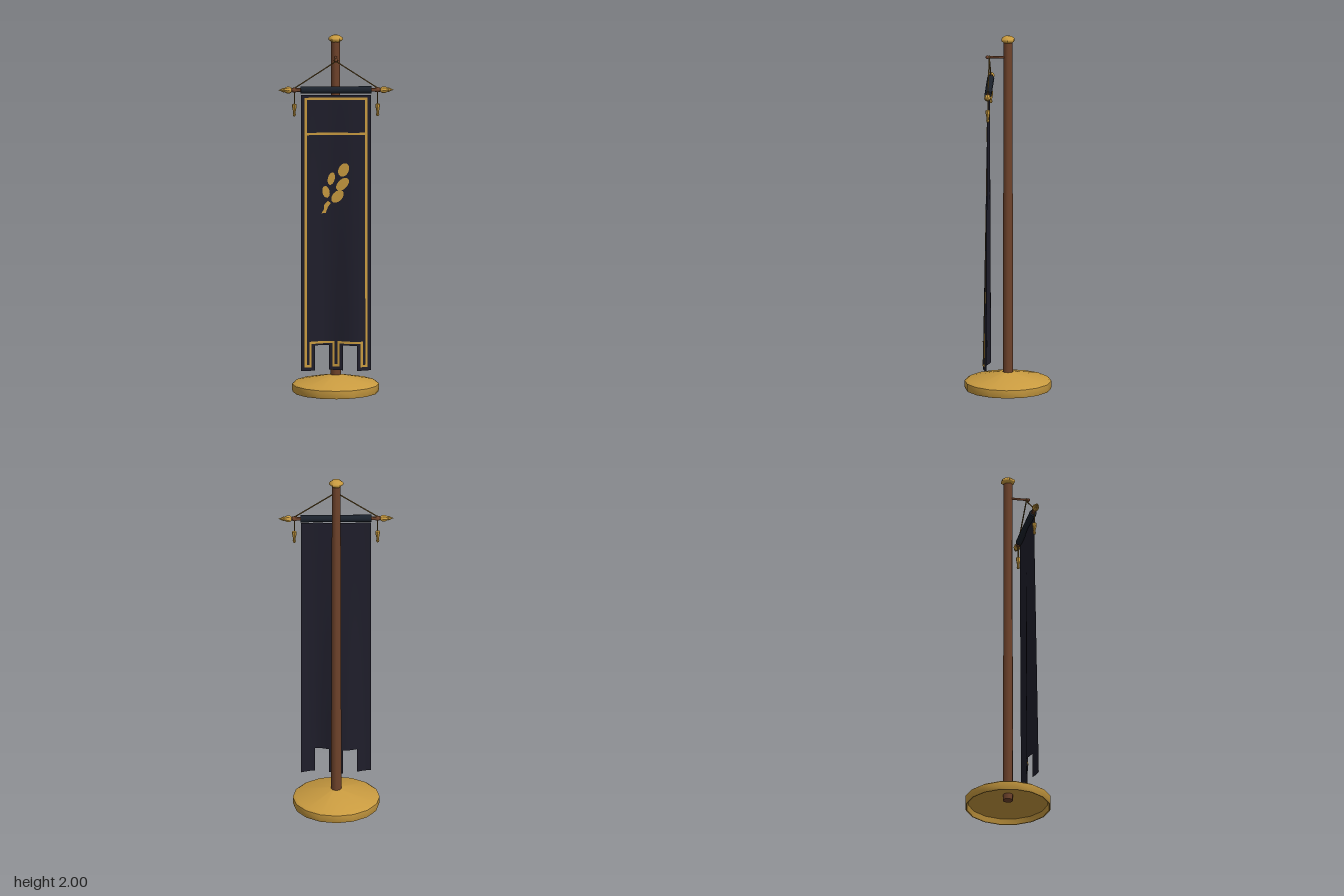
import * as THREE from 'three';
import { toCreasedNormals } from 'three/addons/utils/BufferGeometryUtils.js';

const flat = (name, color, extra = {}) => Object.assign(new THREE.MeshStandardMaterial({ color, ...extra }), { name });

export function createModel() {
  const gold = flat('gold', 0xc99b40);
  const wood = flat('wood', 0x6f432b);
  const navy = flat('navy cloth', 0x1f1e2b, { side: THREE.DoubleSide });
  const sleeveNavy = flat('dark sleeve', 0x1a212b);
  const cord = flat('cord', 0x7d5f2a);

  const root = new THREE.Group();
  root.name = 'bannerStand';
  const add = (name, geometry, material, parent = root) => {
    const mesh = new THREE.Mesh(geometry, material);
    mesh.name = name;
    parent.add(mesh);
    return mesh;
  };
  const lathe = (points, sides, crease = 0.6, start = 0) =>
    toCreasedNormals(new THREE.LatheGeometry(points.map(p => new THREE.Vector2(...p)), sides, start), crease);
  const rod = (name, a, b, radius, material, sides = 6) => {
    const from = new THREE.Vector3(...a), to = new THREE.Vector3(...b);
    const dir = to.clone().sub(from);
    const mesh = add(name, new THREE.CylinderGeometry(radius, radius, dir.length(), sides), material);
    mesh.position.copy(from).add(to).multiplyScalar(0.5);
    mesh.quaternion.setFromUnitVectors(new THREE.Vector3(0, 1, 0), dir.normalize());
    return mesh;
  };

  // Hollow base, tapered pole and six-sided cap
  add('base', lathe([[0.02, 0.075], [0.222, 0.03], [0.23, 0], [0.236, 0], [0.24, 0.01],
    [0.24, 0.045], [0.225, 0.055], [0.025, 0.097]], 16), gold);
  const pole = add('pole', new THREE.CylinderGeometry(0.024, 0.029, 1.93, 8), wood);
  pole.position.y = 1.005;
  add('poleCap', lathe([[0, 1.963], [0.024, 1.963], [0.04, 1.975], [0.04, 1.986], [0.022, 1.999], [0, 2]],
    6, 0.9, Math.PI / 2), gold);

  // Arm holding the crossbar
  const barY = 1.712, barZ = 0.103;
  rod('arm', [0, 1.88, 0], [0, 1.88, 0.12], 0.007, wood);
  const armTip = add('armTip', new THREE.SphereGeometry(0.01, 8, 6), wood);
  armTip.position.set(0, 1.88, 0.114);
  const loop = add('cordLoop', new THREE.TorusGeometry(0.01, 0.003, 5, 10), cord);
  loop.position.set(0, 1.877, barZ);

  // Crossbar with cloth sleeve
  rod('crossbar', [-0.2, barY, barZ], [0.2, barY, barZ], 0.011, wood, 8);
  rod('sleeve', [-0.195, barY, barZ], [0.195, barY, barZ], 0.02, sleeveNavy, 12);

  // Bar ends, cords and tassels on both sides
  for (const s of [-1, 1]) {
    const end = new THREE.Group();
    end.name = s > 0 ? 'leftBarEnd' : 'rightBarEnd';
    end.position.set(0, barY, barZ);
    end.rotation.z = -s * Math.PI / 2;
    root.add(end);
    add('barTurning', lathe([[0.011, 0.19], [0.011, 0.215], [0.015, 0.23], [0.01, 0.247]], 8, 0.9), wood, end);
    add('finial', lathe([[0, 0.243], [0.013, 0.246], [0.019, 0.257], [0.019, 0.27], [0.011, 0.286],
      [0.013, 0.29], [0, 0.318]], 8, 0.7), gold, end);

    rod('supportCord', [0, 1.872, barZ], [s * 0.23, barY + 0.01, barZ], 0.0035, cord);
    rod('tasselCord', [s * 0.23, barY, barZ], [s * 0.23, 1.625, barZ], 0.003, cord);
    const tassel = add('tassel', lathe([[0, 1.565], [0.006, 1.566], [0.009, 1.575], [0.006, 1.585],
      [0.013, 1.622], [0.012, 1.632], [0, 1.637]], 8), gold);
    tassel.position.set(s * 0.23, 0, barZ);
  }

  // Cloth hangs in soft folds that deepen toward the bottom
  const top = 1.684, bottom = 0.14;
  const foldZ = (x, y) => {
    const t = (top - y) / (top - bottom);
    return 0.105 + 0.01 * t + (0.003 + 0.017 * t) * Math.cos(2 * Math.PI * (x - 0.11) / 0.3);
  };
  const drape = (geometry, lift) => {
    const p = geometry.attributes.position;
    for (let i = 0; i < p.count; i++) p.setZ(i, foldZ(p.getX(i), p.getY(i)) + lift);
    geometry.computeVertexNormals();
    return geometry;
  };
  const patch = (name, x0, x1, y0, y1, material, lift = 0) => {
    const w = x1 - x0, h = y1 - y0;
    const g = new THREE.PlaneGeometry(w, h, Math.ceil(w / 0.012), Math.ceil(h / 0.2));
    g.translate((x0 + x1) / 2, (y0 + y1) / 2, 0);
    add(name, drape(g, lift), material);
  };
  const notchY = 0.28;
  patch('banner', -0.193, 0.193, notchY, top, navy);
  for (const [x0, x1] of [[-0.193, -0.115], [-0.039, 0.039], [0.115, 0.193]])
    patch('bannerTail', x0, x1, bottom, notchY, navy);

  // Gold trim following the banner outline
  const w = 0.013, low = 0.16, lift = 0.003;
  const trim = (x0, x1, y0, y1) => patch('trim', x0, x1, y0, y1, gold, lift);
  trim(-0.174, 0.174, 1.657, 1.657 + w);
  trim(-0.161, 0.161, 1.46, 1.46 + w);
  for (const s of [-1, 1]) {
    const side = (a, b, y0, y1) => trim(Math.min(s * a, s * b), Math.max(s * a, s * b), y0, y1);
    side(0.174, 0.174 - w, low, 1.657);
    side(0.161, 0.135, low, low + w);
    side(0.135, 0.135 + w, low + w, 0.303);
    side(0.02, 0.135, 0.303 - w, 0.303);
    side(0.02, 0.02 - w, low, 0.303);
  }
  trim(-0.007, 0.007, low, low + w);

  // Leaf sprig: x, y, half width, half length, tilt
  const leaves = [
    [0.042, 1.264, 0.028, 0.04, -0.45], [-0.026, 1.214, 0.019, 0.036, -0.25],
    [0.036, 1.184, 0.026, 0.044, -0.75], [-0.055, 1.14, 0.02, 0.034, 0.2],
    [0.008, 1.115, 0.027, 0.042, -0.75],
  ];
  for (const [x, y, a, b, tilt] of leaves) {
    const g = new THREE.CircleGeometry(1, 16);
    g.scale(a, b, 1).rotateZ(tilt).translate(x, y, 0);
    add('leaf', drape(g, 0.004), gold);
  }
  const stem = new THREE.Shape([[-0.08, 1.02], [-0.056, 1.022], [-0.045, 1.055], [-0.028, 1.078],
    [-0.046, 1.09], [-0.066, 1.066], [-0.066, 1.044]].map(p => new THREE.Vector2(...p)));
  add('stem', drape(new THREE.ShapeGeometry(stem), 0.004), gold);

  return root;
}
